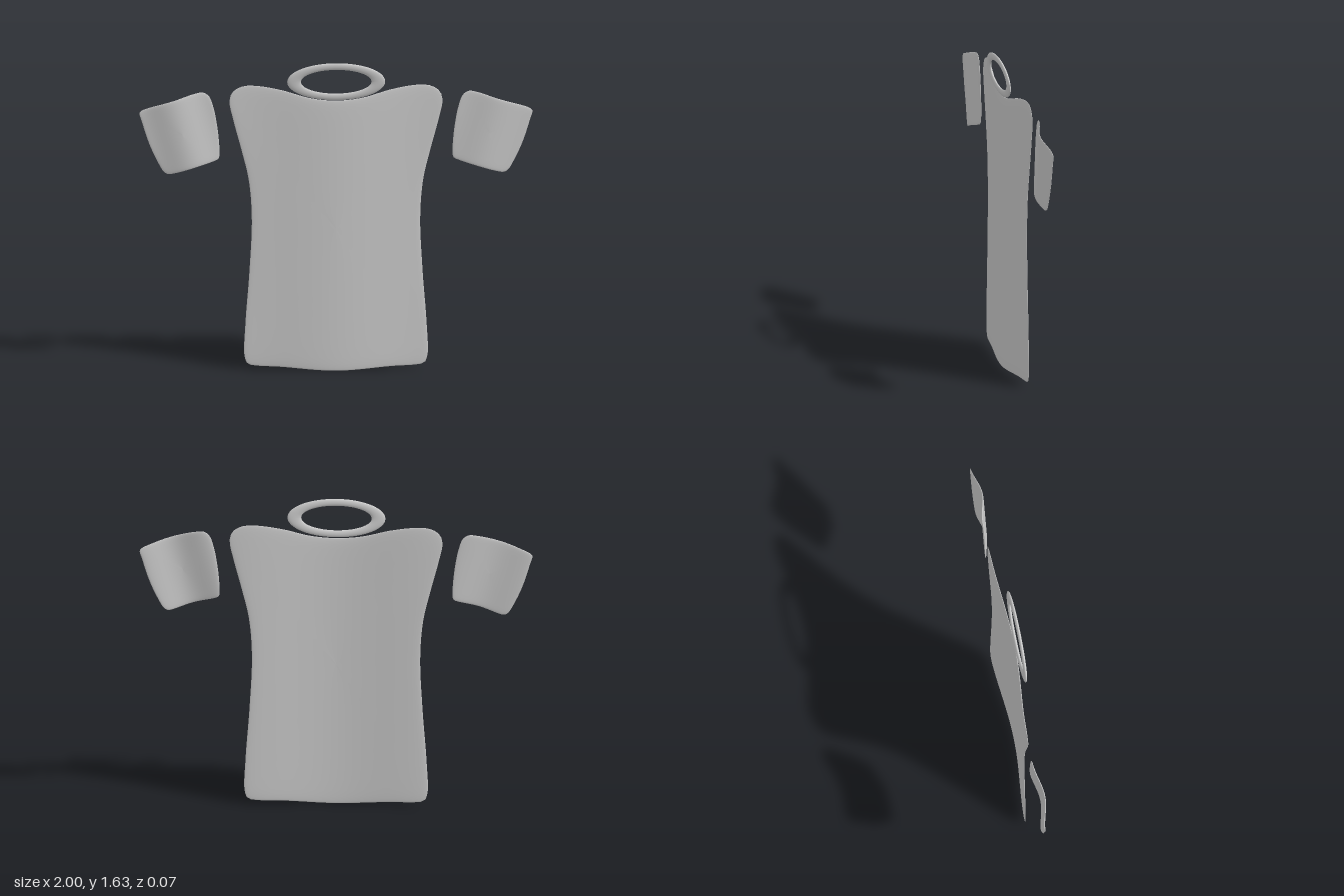
import * as THREE from 'three';

const fabric = new THREE.MeshStandardMaterial({ color: 0xcccccc });
fabric.name = 'light grey fabric';

// Thin, soft-edged cloth panel: outline (counter-clockwise) shrunk to a centre in rings, bent by z = bend(x, y)
function clothPanel(name, outline, cx, cy, halfThickness, bend, segments = 128) {
  const curve = new THREE.CatmullRomCurve3(outline.map(([x, y]) => new THREE.Vector3(x, y, 0)), true, 'centripetal');
  const rim = curve.getSpacedPoints(segments).slice(0, segments);
  const scales = [0, 0.12, 0.25, 0.38, 0.5, 0.62, 0.74, 0.84, 0.91, 0.95, 0.975, 0.99, 0.997];
  const rings = [
    ...scales.map((s) => [s, 1]),
    [1, 0],
    ...scales.slice().reverse().map((s) => [s, -1]),
  ];
  const positions = [];
  const index = [];
  rings.forEach(([s, side], k) => {
    const t = side * halfThickness * Math.sqrt(1 - s ** 20);
    rim.forEach((p, i) => {
      const x = cx + (p.x - cx) * s;
      const y = cy + (p.y - cy) * s;
      positions.push(x, y, bend(x, y) + t);
      if (k === 0) return;
      const j = (i + 1) % segments;
      const a = (k - 1) * segments + i, b = (k - 1) * segments + j;
      const c = k * segments + i, d = k * segments + j;
      if (k > 1) index.push(a, c, b);
      if (k < rings.length - 1) index.push(b, c, d);
      else if (k === 1) index.push(b, c, d);
    });
  });
  const geometry = new THREE.BufferGeometry();
  geometry.setAttribute('position', new THREE.Float32BufferAttribute(positions, 3));
  geometry.setIndex(index);
  geometry.computeVertexNormals();
  const mesh = new THREE.Mesh(geometry, fabric);
  mesh.name = name;
  return mesh;
}

const mirror = (points) => points.map(([x, y]) => [-x, y]).reverse();

export function createModel() {
  const model = new THREE.Group();
  model.name = 'shirt';

  // Body: flared hem, narrow waist, wide shoulders and dipped neckline
  const bodySide = [
    [0.28, 0.019], [0.41, 0.024], [0.45, 0.034], [0.465, 0.075], [0.46, 0.25], [0.44, 0.52],
    [0.428, 0.8], [0.443, 1.0], [0.48, 1.16], [0.522, 1.32], [0.541, 1.417], [0.527, 1.465],
    [0.48, 1.495], [0.41, 1.5], [0.28, 1.48], [0.13, 1.44],
  ];
  const bodyOutline = [[0, 0.002], ...bodySide, [0, 1.428], ...mirror(bodySide)];
  const bodyBend = (x) => 0.006 - 0.017 * (1 - Math.cos(Math.PI * Math.min(Math.abs(x) / 0.5, 1)));
  model.add(clothPanel('body', bodyOutline, 0, 0.75, 0.005, bodyBend, 192));

  // Sleeves: slanted patches arched across their width
  const sleeveOutline = [
    [0.592, 1.135], [0.598, 1.115], [0.62, 1.105], [0.72, 1.076], [0.82, 1.044], [0.85, 1.038],
    [0.872, 1.047], [0.91, 1.11], [0.95, 1.2], [0.985, 1.31], [0.998, 1.36], [0.985, 1.373],
    [0.94, 1.392], [0.83, 1.428], [0.72, 1.46], [0.675, 1.465], [0.645, 1.445], [0.621, 1.38],
    [0.604, 1.29], [0.594, 1.2],
  ];
  const sleeveBend = (x, y) => {
    const across = (Math.abs(x) - 0.785) * 0.96 - (y - 1.25) * 0.28;
    return -0.014 + 0.015 * Math.cos(Math.PI * THREE.MathUtils.clamp(across / 0.18, -1, 1));
  };
  model.add(clothPanel('leftSleeve', sleeveOutline, 0.78, 1.25, 0.004, sleeveBend));
  model.add(clothPanel('rightSleeve', mirror(sleeveOutline), -0.78, 1.25, 0.004, sleeveBend));

  // Collar: flattened oval ring leaning forward at the top
  const ring = new THREE.TorusGeometry(0.214, 0.035, 20, 96);
  const p = ring.attributes.position;
  for (let i = 0; i < p.count; i++) {
    const x = p.getX(i), y = p.getY(i);
    const r = Math.hypot(x, y);
    const newY = (y / r) * (0.082 + 0.018 * (r - 0.214) / 0.035);
    p.setXYZ(i, x, newY + 1.531, p.getZ(i) * 0.24 + 0.019 + newY * 0.09);
  }
  ring.computeVertexNormals();
  const collar = new THREE.Mesh(ring, fabric);
  collar.name = 'collar';
  model.add(collar);

  return model;
}
